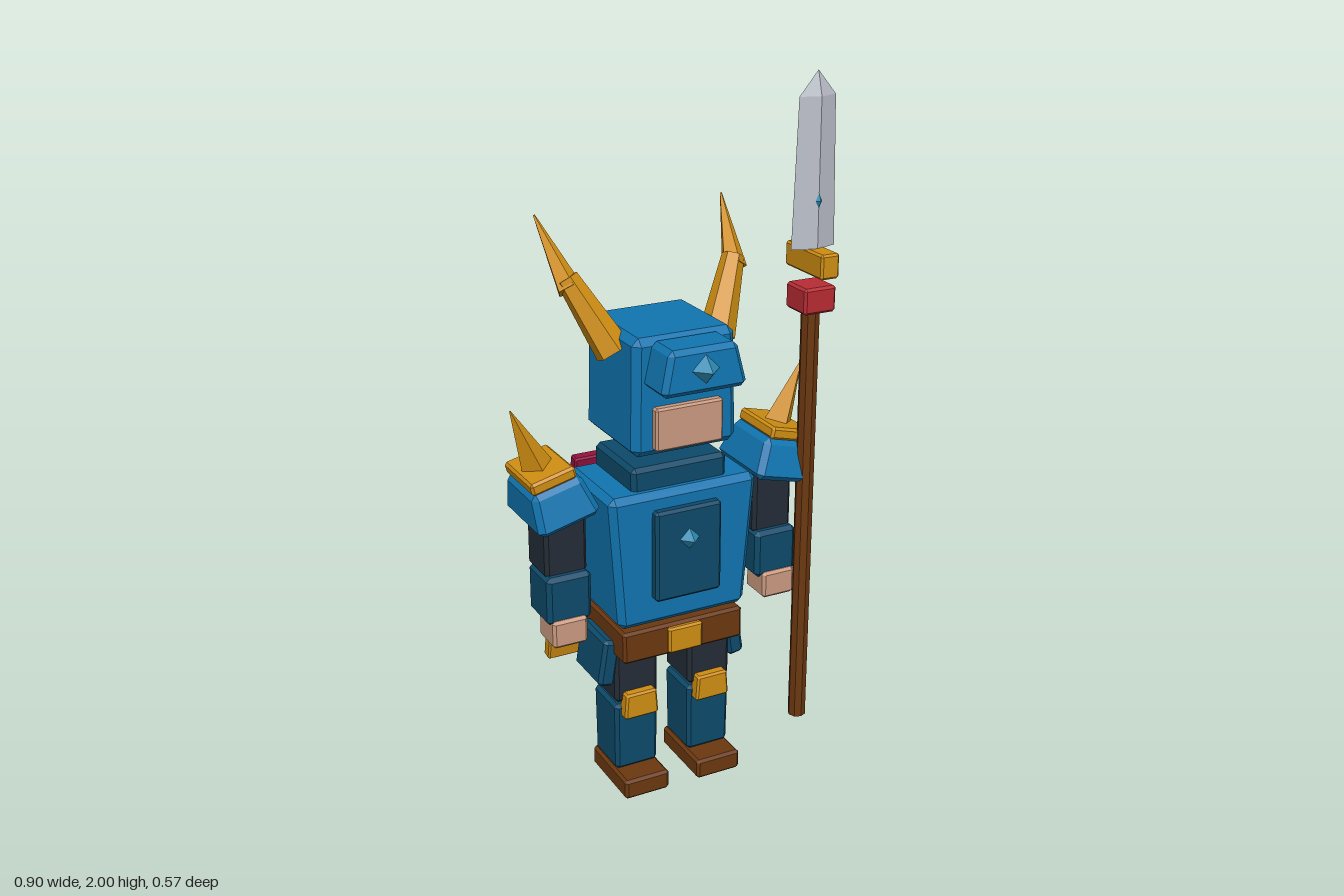
import * as THREE from 'three';
import { ConvexGeometry } from 'three/addons/geometries/ConvexGeometry.js';

const mat = (name, color) => {
  const m = new THREE.MeshStandardMaterial({ color, flatShading: true });
  m.name = name;
  return m;
};

export function createModel() {
  const blue = mat('armour blue', 0x1075b0);
  const navy = mat('dark blue', 0x0d4a6a);
  const cloth = mat('dark cloth', 0x242c36);
  const gold = mat('gold', 0xce8d12);
  const crimson = mat('crimson', 0x92103f);
  const brown = mat('leather brown', 0x6b3810);
  const skin = mat('skin', 0xcb9a80);
  const steel = mat('steel', 0xbcc0ca);
  const red = mat('red', 0xb82c33);
  const gemBlue = mat('gem blue', 0x2f8db5);

  const model = new THREE.Group();
  model.name = 'knight';
  const body = new THREE.Group();
  body.name = 'body';
  body.position.x = -0.0125;
  model.add(body);

  const add = (parent, name, geometry, material, x = 0, y = 0, z = 0) => {
    const mesh = new THREE.Mesh(geometry, material);
    mesh.name = name;
    mesh.position.set(x, y, z);
    parent.add(mesh);
    return mesh;
  };

  // Box with chamfered edges; tx and tz scale its top
  const block = (w, h, d, b = 0.01, tx = 1, tz = 1) => {
    const pts = [];
    for (const sx of [-1, 1]) for (const sy of [-1, 1]) for (const sz of [-1, 1]) {
      const kx = sy > 0 ? tx : 1, kz = sy > 0 ? tz : 1;
      for (const [a, c, e] of [[0, b, b], [b, 0, b], [b, b, 0]]) {
        pts.push(new THREE.Vector3(sx * (w / 2 * kx - a), sy * (h / 2 - c), sz * (d / 2 * kz - e)));
      }
    }
    return new ConvexGeometry(pts);
  };

  // Tapered prism between two points
  const spike = (parent, name, from, to, r1, r2, sides, material) => {
    const a = new THREE.Vector3(...from), b = new THREE.Vector3(...to);
    const dir = b.clone().sub(a);
    const mesh = add(parent, name, new THREE.CylinderGeometry(r2, r1, dir.length(), sides), material);
    mesh.position.copy(a).add(b).multiplyScalar(0.5);
    mesh.quaternion.setFromUnitVectors(new THREE.Vector3(0, 1, 0), dir.normalize());
    return mesh;
  };

  // Torso, chest plate and collar
  add(body, 'torso', block(0.39, 0.395, 0.27, 0.018, 1.14, 1.04), blue, 0, 0.737, 0);
  add(body, 'chestPlate', block(0.2, 0.265, 0.06, 0.008), navy, 0, 0.753, 0.135);
  add(body, 'chestGem', new THREE.OctahedronGeometry(0.037), gemBlue, 0, 0.795, 0.158);
  add(body, 'collar', block(0.285, 0.075, 0.24, 0.012), navy, 0, 0.96, -0.01);

  // Belt and buckle
  add(body, 'belt', block(0.37, 0.095, 0.25, 0.008), brown, 0, 0.483, 0.01);
  add(body, 'buckle', block(0.105, 0.078, 0.03, 0.006), gold, 0, 0.483, 0.134);

  // Head with face, visor and gem
  add(body, 'head', block(0.31, 0.325, 0.3, 0.02, 0.96, 0.98), blue, 0, 1.203, -0.006);
  add(body, 'face', block(0.2, 0.12, 0.04, 0.006), skin, 0, 1.12, 0.145);
  add(body, 'visor', block(0.245, 0.122, 0.13, 0.014, 0.82, 0.9), blue, 0, 1.297, 0.185);
  add(body, 'visorGem', new THREE.OctahedronGeometry(0.04), gemBlue, 0, 1.3, 0.246);

  for (const s of [-1, 1]) {
    const side = s > 0 ? 'left' : 'right';

    // Horns in two tapering pieces
    spike(body, side + 'HornBase', [s * 0.153, 1.305, 0.025], [s * 0.246, 1.495, -0.055], 0.05, 0.031, 6, gold);
    spike(body, side + 'HornTip', [s * 0.243, 1.465, -0.045], [s * 0.278, 1.635, -0.185], 0.036, 0.003, 5, gold);

    // Shoulder armour
    const pauldron = new THREE.Group();
    pauldron.name = side + 'ShoulderArmour';
    pauldron.position.set(s * 0.337, 0.932, 0);
    pauldron.rotation.z = -s * 0.25;
    body.add(pauldron);
    add(pauldron, side + 'Pauldron', block(0.18, 0.115, 0.245, 0.016, 0.84, 0.8), blue);
    add(pauldron, side + 'PauldronPlate', block(0.13, 0.035, 0.185, 0.007), gold, s * 0.004, 0.073, 0);
    spike(body, side + 'ShoulderSpike', [s * 0.367, 1.01, 0], [s * 0.438, 1.18, 0], 0.045, 0.002, 4, gold);

    // Arm
    add(body, side + 'UpperArm', block(0.122, 0.2, 0.125, 0.01), cloth, s * 0.318, 0.81, 0.003);
    add(body, side + 'Forearm', block(0.13, 0.142, 0.135, 0.012), navy, s * 0.32, 0.65, 0.022);
    add(body, side + 'Hand', block(0.102, 0.08, 0.1, 0.008), skin, s * 0.325, 0.556, 0.05);

    // Leg
    add(body, side + 'Thigh', block(0.132, 0.17, 0.145, 0.01), cloth, s * 0.115, 0.365, 0);
    const hip = add(body, side + 'HipPlate', block(0.05, 0.14, 0.165, 0.01), navy, s * 0.197, 0.41, -0.012);
    hip.rotation.z = s * 0.16;
    add(body, side + 'Shin', block(0.13, 0.212, 0.14, 0.01, 1.03, 1.04), navy, s * 0.115, 0.166, -0.001);
    add(body, side + 'KneePlate', block(0.105, 0.078, 0.04, 0.006, 0.9), gold, s * 0.113, 0.275, 0.08);
    add(body, side + 'Boot', block(0.138, 0.06, 0.222, 0.008), brown, s * 0.115, 0.03, 0.026);
  }

  // Cape in two panels with a gold hem
  const capeTop = add(body, 'capeTop', block(0.405, 0.225, 0.034, 0.005, 0.96), crimson, 0, 0.838, -0.173);
  capeTop.rotation.x = 0.125;
  const capeBottom = add(body, 'capeBottom', block(0.468, 0.425, 0.032, 0.005, 0.86), crimson, 0, 0.555, -0.222);
  capeBottom.rotation.x = 0.19;
  const hem = add(body, 'capeHem', block(0.495, 0.07, 0.036, 0.005), gold, 0, 0.314, -0.262);
  hem.rotation.x = 0.19;

  // Polearm held at the left side
  const spear = new THREE.Group();
  spear.name = 'spear';
  spear.position.set(0.385, 0, 0.103);
  model.add(spear);
  add(spear, 'shaft', new THREE.CylinderGeometry(0.026, 0.026, 1.26, 8), brown, 0, 0.74, 0);
  add(spear, 'shaftCap', block(0.098, 0.073, 0.1, 0.007), red, 0, 1.4, 0);
  add(spear, 'guard', block(0.056, 0.068, 0.184, 0.006), gold, 0, 1.503, 0);

  // Blade from diamond cross-sections
  const bladePoints = [new THREE.Vector3(0, 2, 0)];
  for (const [y, w, d] of [[1.535, 0.067, 0.025], [1.935, 0.055, 0.02]]) {
    for (const [x, z] of [[w, 0], [-w, 0], [0, d], [0, -d]]) bladePoints.push(new THREE.Vector3(x, y, z));
  }
  add(spear, 'blade', new ConvexGeometry(bladePoints), steel);
  for (const s of [-1, 1]) {
    const gem = add(spear, 'bladeGem', new THREE.OctahedronGeometry(0.01), gemBlue, 0, 1.665, s * 0.023);
    gem.scale.y = 2;
  }
  return model;
}
